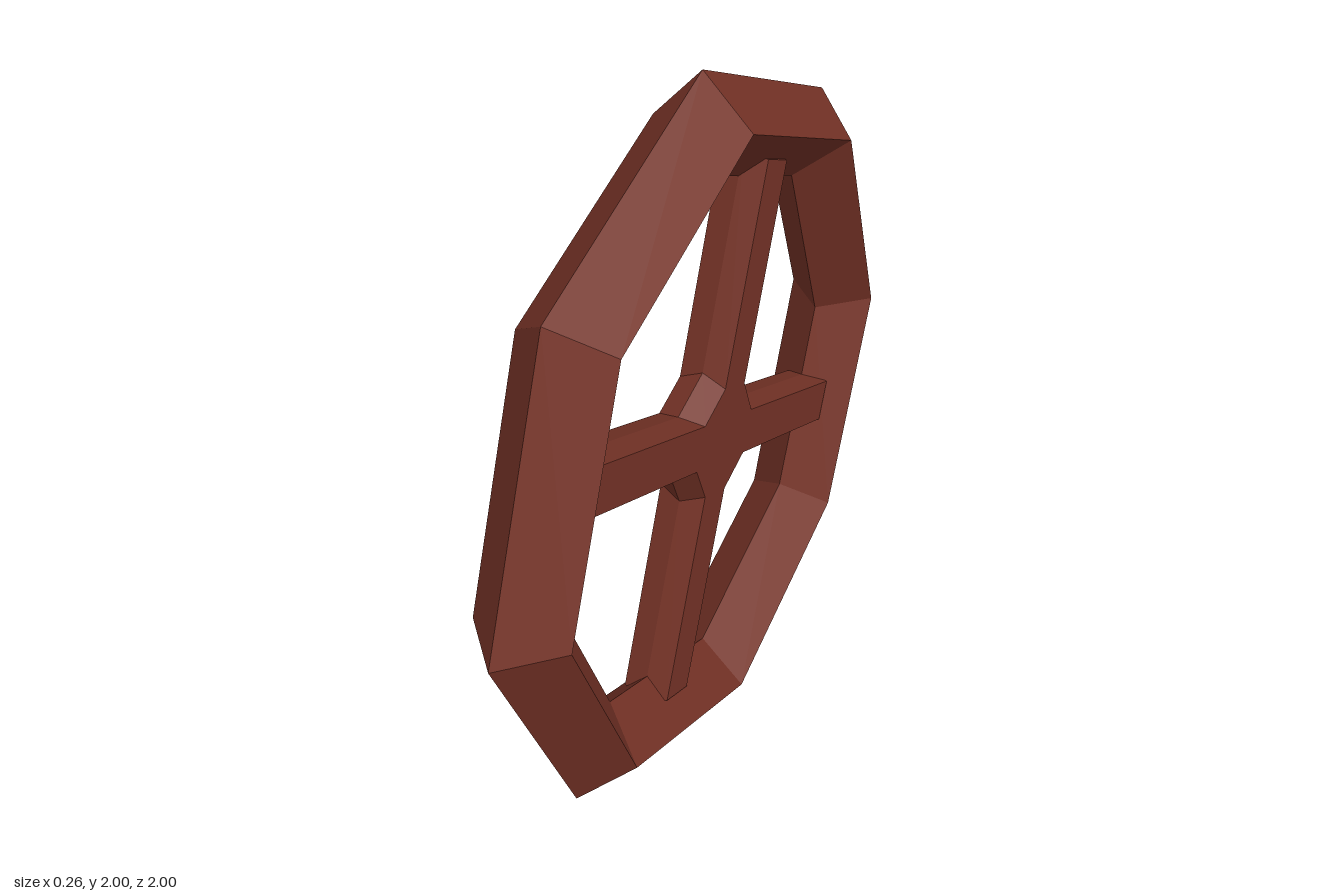
import * as THREE from 'three';

const SPOKES = 4;

// Outline of the hub and spokes: an octagon with every other side drawn out
function crossOutline(hubRadius, reach) {
  const pts = [];
  const half = hubRadius * Math.sin(Math.PI / 8);
  const apothem = hubRadius * Math.cos(Math.PI / 8);
  for (let k = 0; k < SPOKES; k++) {
    const a = Math.PI * 3 / 8 + k * Math.PI / 2;
    for (const [r, s] of [[apothem, -half], [reach, -half], [reach, half], [apothem, half]]) {
      pts.push(new THREE.Vector2(r * Math.cos(a) - s * Math.sin(a), r * Math.sin(a) + s * Math.cos(a)));
    }
  }
  return pts;
}

// Solid that is widest at its middle section, with flat faces at +-depth
function ridgedPrism(mid, face, depth) {
  const pos = [];
  const n = mid.length;
  const add = (p, z) => pos.push(p.x, p.y, z);
  for (const [A, za, B, zb] of [[face, -depth, mid, 0], [mid, 0, face, depth]]) {
    for (let i = 0; i < n; i++) {
      const j = (i + 1) % n;
      add(A[i], za); add(A[j], za); add(B[j], zb);
      add(A[i], za); add(B[j], zb); add(B[i], zb);
    }
  }
  for (const [a, b, c] of THREE.ShapeUtils.triangulateShape(face, [])) {
    add(face[a], depth); add(face[b], depth); add(face[c], depth);
    add(face[a], -depth); add(face[c], -depth); add(face[b], -depth);
  }
  const g = new THREE.BufferGeometry();
  g.setAttribute('position', new THREE.Float32BufferAttribute(pos, 3));
  g.computeVertexNormals();
  return g;
}

export function createModel() {
  const group = new THREE.Group();
  group.name = 'wheel';
  const wood = new THREE.MeshStandardMaterial({ color: 0x743226, flatShading: true });
  wood.name = 'red brown wood';

  const add = (name, geometry) => {
    geometry.rotateY(Math.PI / 2); // axle along x
    const mesh = new THREE.Mesh(geometry, wood);
    mesh.name = name;
    mesh.position.y = 1;
    group.add(mesh);
  };

  // Octagonal rim with a diamond section
  add('rim', new THREE.TorusGeometry(0.87, 0.13, 4, 8));
  // Hub and four spokes in one piece
  add('hubAndSpokes', ridgedPrism(crossOutline(0.19, 0.75), crossOutline(0.16, 0.737), 0.066));

  return group;
}
